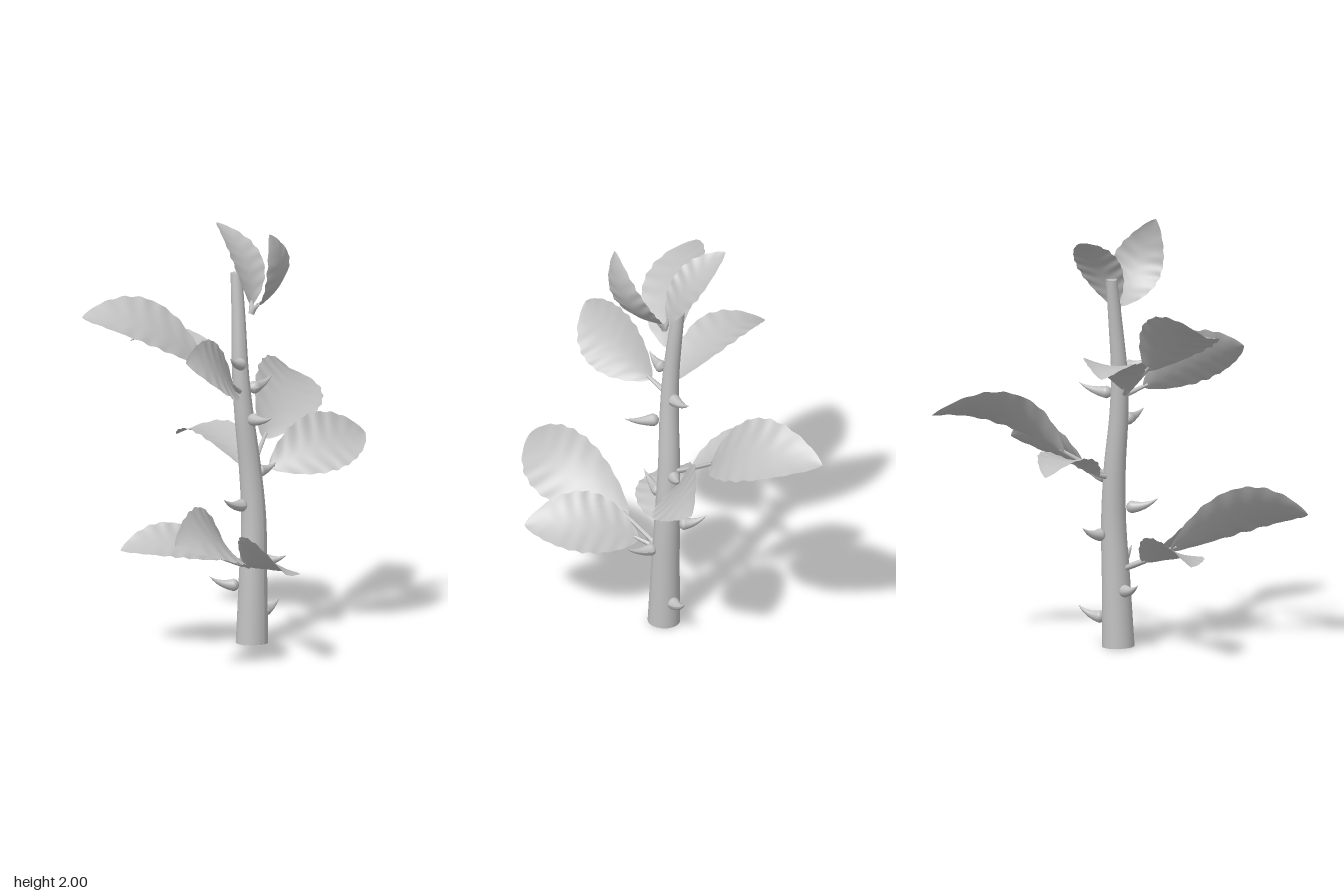
import * as THREE from 'three';

const V = (p) => new THREE.Vector3(...p);

export function createModel() {
  const plant = new THREE.Group();
  plant.name = 'thornyPlant';
  const grey = new THREE.MeshStandardMaterial({ color: 0xc0c0c0, side: THREE.DoubleSide });
  grey.name = 'plainGrey';

  const add = (geometry, name) => {
    const mesh = new THREE.Mesh(geometry, grey);
    mesh.name = name;
    plant.add(mesh);
    return mesh;
  };

  // Tube along a curve whose radius follows a rule
  const taperedTube = (curve, radius, steps, sides) => {
    const geo = new THREE.TubeGeometry(curve, steps, 1, sides);
    const pos = geo.attributes.position;
    const v = new THREE.Vector3();
    for (let i = 0; i < pos.count; i++) {
      const t = Math.floor(i / (sides + 1)) / steps;
      const c = curve.getPointAt(t);
      v.fromBufferAttribute(pos, i).sub(c).multiplyScalar(radius(t)).add(c);
      pos.setXYZ(i, v.x, v.y, v.z);
    }
    geo.computeVertexNormals();
    return geo;
  };

  // Stem: leaning, narrowing upwards, closed at both ends
  const stemCurve = new THREE.CatmullRomCurve3([
    [0.035, 0.005, 0.047], [0.045, 0.3, 0.045], [0.056, 0.6, 0.04], [0.045, 0.85, 0.025],
    [0.02, 1.1, 0.01], [0.012, 1.3, -0.004], [0.024, 1.55, -0.025], [0.035, 1.755, -0.047],
  ].map(V));
  const stemRadius = (t) => 0.076 - 0.049 * Math.pow(t, 0.95);
  add(taperedTube(stemCurve, stemRadius, 60, 24), 'stem');
  for (const t of [0, 1]) {
    const cap = add(new THREE.CircleGeometry(stemRadius(t), 24), t ? 'stemTop' : 'stemBase');
    cap.position.copy(stemCurve.getPointAt(t));
    cap.rotation.x = t ? -Math.PI / 2 : Math.PI / 2;
  }

  // Leaf blade: arched midrib, shallow upward cup, soft ripples and scalloped edge
  const leaf = (name, node, base, tip, side, halfWidth, bend) => {
    const a = V(base), b = V(tip);
    const mid = a.clone().lerp(b, 0.5).add(V(bend));
    const rib = new THREE.QuadraticBezierCurve3(a, mid, b);
    const rows = 48, cols = 12;
    const points = [], index = [];
    const axis = b.clone().sub(a).normalize();
    const across = V(side).addScaledVector(axis, -V(side).dot(axis)).normalize();
    if (across.clone().cross(axis).y < 0) across.negate();
    for (let i = 0; i <= rows; i++) {
      const t = i / rows;
      const normal = across.clone().cross(rib.getTangent(t)).normalize();
      const outline = Math.pow(Math.max(0, Math.sin(Math.PI * Math.pow(t, 0.95))), 0.75);
      for (let j = 0; j <= cols; j++) {
        const s = (j / cols) * 2 - 1;
        const width = halfWidth * outline * (1 + 0.025 * Math.sin(t * 56) * Math.abs(s));
        const lift = width * 0.16 * (s * s - 0.25)
          + 0.003 * Math.sin(t * 44 - Math.abs(s) * 4) * Math.abs(s) * outline;
        const p = rib.getPoint(t).addScaledVector(across, s * width).addScaledVector(normal, lift);
        points.push(p.x, p.y, p.z);
        if (i < rows && j < cols) {
          const k = i * (cols + 1) + j;
          index.push(k, k + cols + 1, k + 1, k + 1, k + cols + 1, k + cols + 2);
        }
      }
    }
    const blade = new THREE.BufferGeometry();
    blade.setAttribute('position', new THREE.Float32BufferAttribute(points, 3));
    blade.setIndex(index);
    blade.computeVertexNormals();
    add(blade, name + 'Blade');

    // Stalk joining the blade to the stem
    const stalk = new THREE.QuadraticBezierCurve3(V(node), V(node).lerp(a, 0.6), rib.getPoint(0.04));
    add(taperedTube(stalk, (t) => 0.014 - 0.006 * t, 10, 8), name + 'Stalk');
  };

  // Lowest whorl
  const low = [0.02, 0.37, 0.045];
  leaf('lowRightLeaf', low, [-0.2, 0.46, 0.1], [-0.82, 0.64, 0.28], [0, 0.24, -0.25], 0.17, [0, 0.16, 0.18]);
  leaf('lowFrontLeaf', low, [-0.09, 0.4, 0.11], [-0.36, 0.47, 0.57], [-0.25, 0.18, 0], 0.155, [0.03, 0.11, 0.01]);
  leaf('lowBackLeaf', low, [-0.11, 0.42, -0.02], [-0.46, 0.475, -0.34], [0.15, 0.11, -0.2], 0.14, [-0.05, 0.13, 0.05]);

  // Second whorl
  const middle = [0.06, 0.81, 0.02];
  leaf('middleLeftLeaf', middle, [0.26, 0.92, -0.07], [0.812, 1.12, -0.36], [-0.1, 0.22, -0.28], 0.172, [0, 0.19, 0.15]);
  leaf('middleFrontLeaf', middle, [0.17, 0.815, 0.04], [0.635, 0.93, 0.24], [0.05, 0.24, -0.21], 0.155, [0, 0.08, 0.09]);
  leaf('middleBackLeaf', middle, [0.1, 0.82, -0.06], [0.19, 0.89, -0.53], [1, 0.06, 0.15], 0.117, [0.06, 0.18, 0]);

  // Third whorl
  const high = [0, 1.2, 0.01];
  leaf('highRightLeaf', high, [-0.15, 1.34, -0.08], [-0.585, 1.59, -0.47], [0.22, 0.17, -0.22], 0.168, [-0.02, 0.17, 0.05]);
  leaf('highFrontLeaf', high, [-0.09, 1.24, 0.04], [-0.555, 1.45, 0.13], [-0.03, 0.27, -0.15], 0.152, [0, 0.06, 0.11]);
  leaf('highBackLeaf', high, [-0.04, 1.23, -0.05], [-0.1, 1.38, -0.57], [1, 0.04, -0.1], 0.14, [0, 0.2, 0]);

  // Upright pair at the top
  const top = [0.035, 1.575, 0.045];
  leaf('topFrontLeaf', top, [0.04, 1.61, 0.06], [-0.08, 2, 0.245], [1, 0.25, -0.2], 0.12, [0.06, -0.07, 0.16]);
  leaf('topBackLeaf', top, [0.045, 1.61, 0.035], [0.12, 1.955, -0.235], [1, -0.15, 0.05], 0.108, [0.04, 0.07, 0.09]);

  // Thorns: rounded base, hooked upwards to a sharp tip
  const thorns = [
    [[0.1, 0.14, 0.045], [0.235, 0.19, 0.05]],
    [[0, 0.28, 0], [-0.11, 0.325, -0.09]],
    [[0.04, 0.41, 0.09], [0.04, 0.45, 0.25]],
    [[0.09, 0.54, 0], [0.155, 0.585, -0.115]],
    [[-0.005, 0.67, 0.04], [-0.165, 0.72, 0.04]],
    [[0.09, 0.81, 0.03], [0.2, 0.84, 0.06]],
    [[0.005, 1.08, 0.055], [-0.03, 1.11, 0.22]],
    [[0.055, 1.21, 0.02], [0.222, 1.25, 0.02]],
    [[-0.005, 1.34, 0.025], [-0.115, 1.385, 0.04]],
  ];
  thorns.forEach(([base, tip], i) => {
    const a = V(base), b = V(tip);
    const hook = a.clone().lerp(b, 0.6);
    hook.y = a.y - 0.005;
    const curve = new THREE.QuadraticBezierCurve3(a, hook, b);
    const radius = (t) => 0.036 * Math.sqrt(Math.min(1, t * 6)) * (1 - t);
    add(taperedTube(curve, radius, 18, 12), 'thorn' + (i + 1));
  });

  return plant;
}
